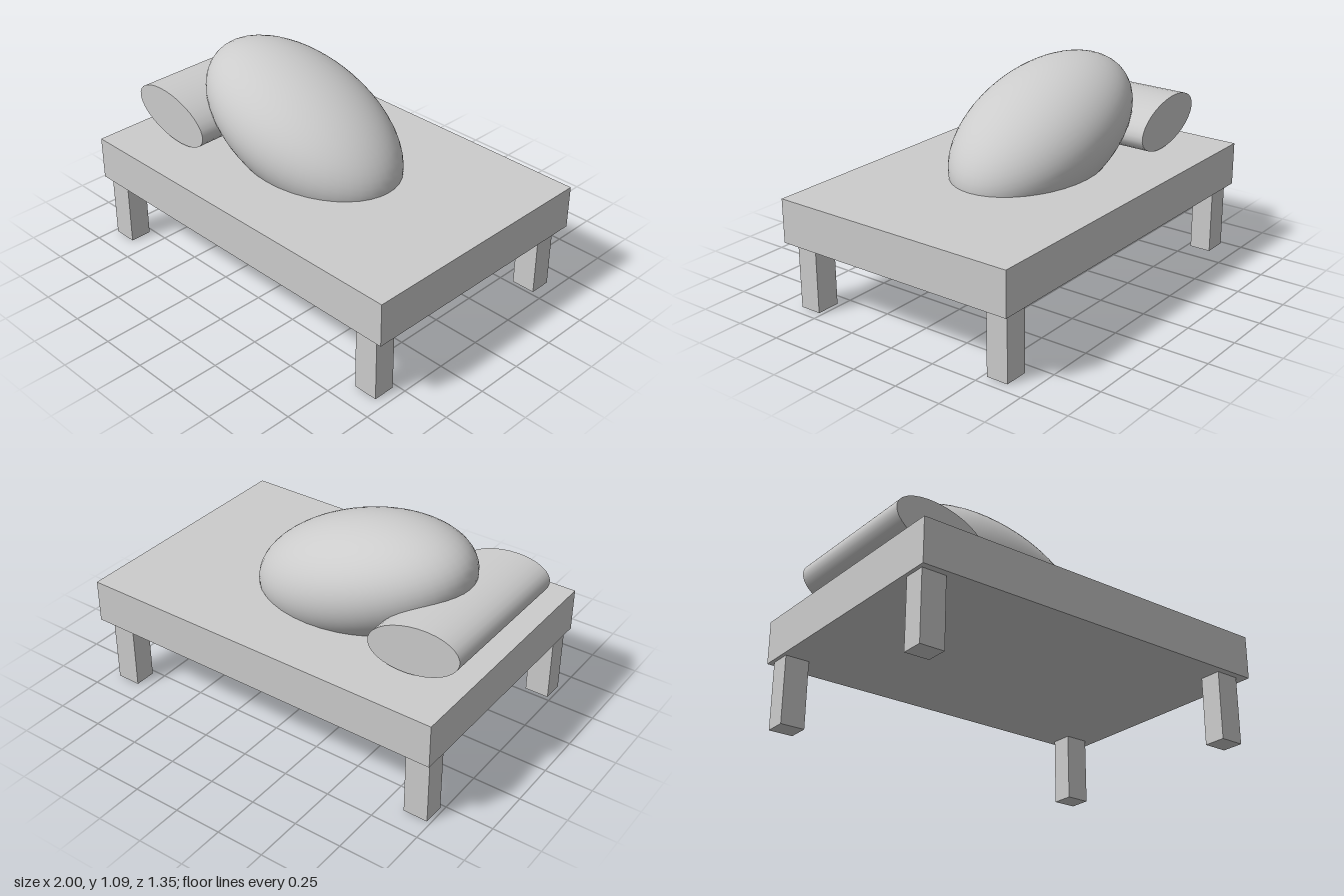
import * as THREE from 'three';

export function createModel() {
  const group = new THREE.Group();
  const material = new THREE.MeshStandardMaterial({ color: 0xcccccc });
  const add = (name, geometry, x, y, z) => {
    const mesh = new THREE.Mesh(geometry, material);
    mesh.name = name;
    mesh.position.set(x, y, z);
    group.add(mesh);
    return mesh;
  };

  // Thick slab of the bed
  add('bedSlab', new THREE.BoxGeometry(2, 0.228, 1.345), 0, 0.47, 0);

  // Four square legs, set slightly further in on the left side
  for (const [side, x] of [['Right', -0.917], ['Left', 0.88]]) {
    for (const [end, z] of [['front', 0.58], ['back', -0.578]]) {
      add(`${end}${side}Leg`, new THREE.BoxGeometry(0.128, 0.356, 0.115), x, 0.178, z);
    }
  }

  // Bolster: flattened cylinder lying along z, tilted toward the middle
  const bolsterShape = new THREE.CylinderGeometry(1, 1, 0.83, 32)
    .rotateX(Math.PI / 2)
    .scale(0.251, 0.127, 1);
  add('bolster', bolsterShape, -0.731, 0.725, 0).rotation.z = -0.189;

  // Egg-shaped cushion, tilted and partly sunk into the slab
  const cushionShape = new THREE.SphereGeometry(1, 48, 32).scale(0.62, 0.304, 0.39);
  add('cushion', cushionShape, -0.185, 0.74, 0).rotation.z = -0.328;

  return group;
}
